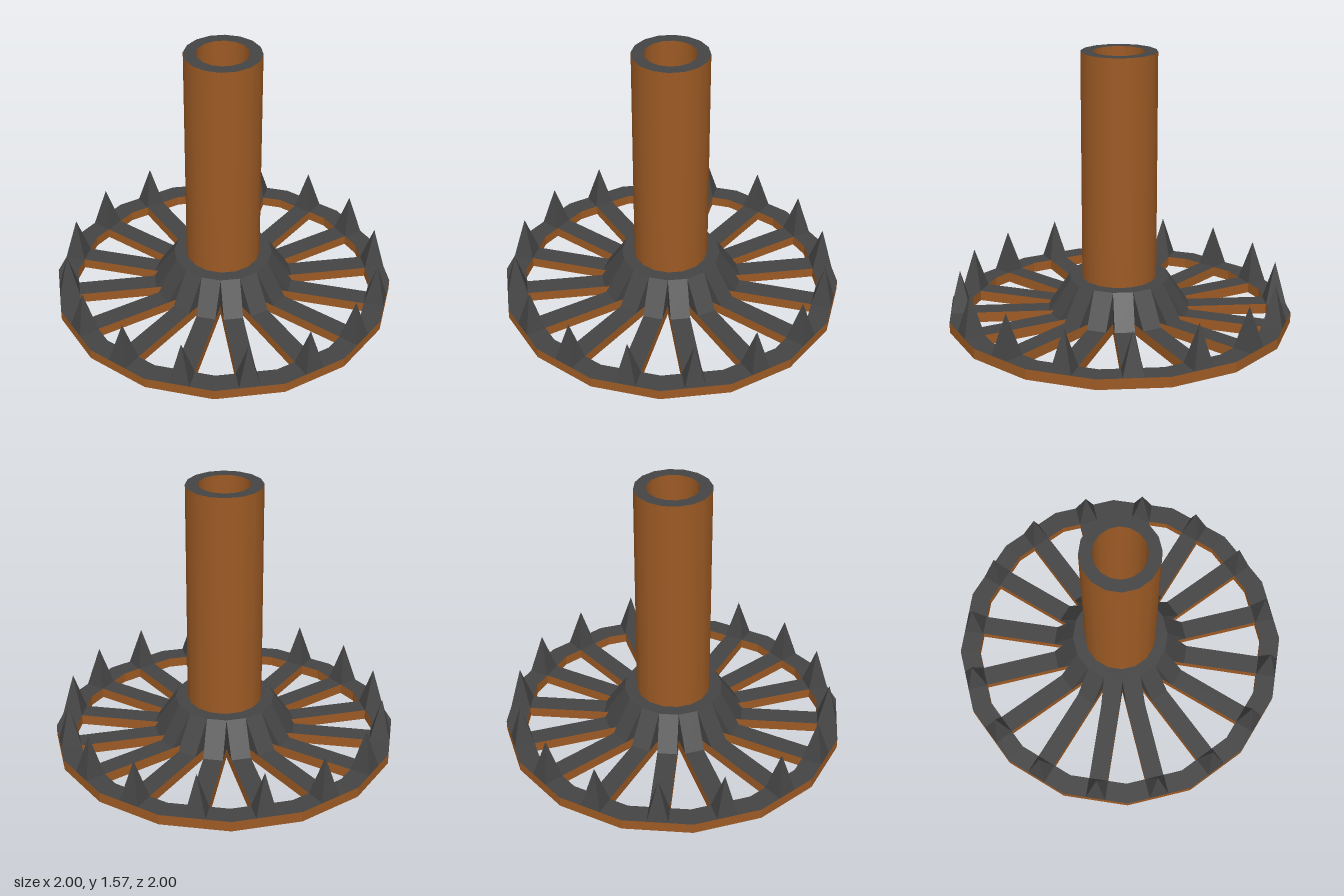
import * as THREE from 'three';

const SIDES = 16;
const STEP = (Math.PI * 2) / SIDES;
const FACE = Math.cos(STEP / 2); // corner radius to flat-side distance
const THICK = 0.06, HUB_R = 0.29, HUB_TOP = 0.25, TOP = 1.57;
const BORE = 0.147, TUBE_R = 0.217, RIM_IN = 0.88;
const SPOKE_W = 2 * HUB_R * Math.sin(STEP / 2);

function polygon(target, radius) {
  const pts = [];
  for (let i = 0; i < SIDES; i++) {
    pts.push(new THREE.Vector2(Math.cos(i * STEP) * radius, Math.sin(i * STEP) * radius));
  }
  return target.setFromPoints(pts);
}

const lathe = (pts) =>
  new THREE.LatheGeometry(pts.map(([r, y]) => new THREE.Vector2(r, y)), SIDES);

function faceted(geometry) {
  const g = geometry.toNonIndexed();
  g.computeVertexNormals();
  return g;
}

export function createModel() {
  const root = new THREE.Group();
  const iron = new THREE.MeshStandardMaterial({ color: 0x444444 });
  iron.name = 'dark iron';
  const rust = new THREE.MeshStandardMaterial({ color: 0x9c5a24 });
  rust.name = 'rusty brown';

  function add(parent, name, geometry, material) {
    const mesh = new THREE.Mesh(geometry, material);
    mesh.name = name;
    parent.add(mesh);
    return mesh;
  }

  // Sixteen-sided rim: iron faces, brown edges
  const rimShape = polygon(new THREE.Shape(), 1);
  rimShape.holes.push(polygon(new THREE.Path(), RIM_IN));
  const rim = new THREE.ExtrudeGeometry(rimShape, { depth: THICK, bevelEnabled: false });
  rim.rotateX(-Math.PI / 2);
  add(root, 'rim', rim, [iron, rust]);

  // Hub with a bore through it
  add(root, 'hub', faceted(lathe([
    [BORE, 0], [HUB_R, 0], [HUB_R, HUB_TOP], [BORE, HUB_TOP], [BORE, 0],
  ])), iron);

  // Hollow tube with an iron lip
  add(root, 'tubeOuterWall', lathe([[TUBE_R, HUB_TOP], [TUBE_R, TOP]]), rust);
  add(root, 'tubeInnerWall', lathe([[BORE, TOP], [BORE, HUB_TOP]]), rust);
  add(root, 'tubeLip', lathe([[TUBE_R, TOP], [BORE, TOP]]), iron);

  // Spoke, sloping brace and spike, shared by every arm
  const start = HUB_R * FACE, end = RIM_IN * FACE;
  const spoke = new THREE.BoxGeometry(end - start, THICK, SPOKE_W);
  spoke.translate((start + end) / 2, THICK / 2, 0);

  const braceShape = new THREE.Shape([
    new THREE.Vector2(start, THICK),
    new THREE.Vector2(0.41, THICK),
    new THREE.Vector2(start, HUB_TOP),
  ]);
  const brace = new THREE.ExtrudeGeometry(braceShape, { depth: SPOKE_W, bevelEnabled: false });
  brace.translate(0, 0, -SPOKE_W / 2);

  const spikeH = 0.24;
  let spike = new THREE.ConeGeometry(0.117 / Math.SQRT2, spikeH, 4, 1);
  spike.rotateY(Math.PI / 4);
  spike.translate((FACE + end) / 2, THICK + spikeH / 2, 0);
  spike = faceted(spike);

  for (let i = 0; i < SIDES; i++) {
    const arm = new THREE.Group();
    arm.name = 'arm' + (i + 1);
    arm.rotation.y = (i + 0.5) * STEP;
    add(arm, 'spoke', spoke, [rust, rust, iron, iron, rust, rust]);
    add(arm, 'brace', brace, iron);
    add(arm, 'spike', spike, iron);
    root.add(arm);
  }
  return root;
}
